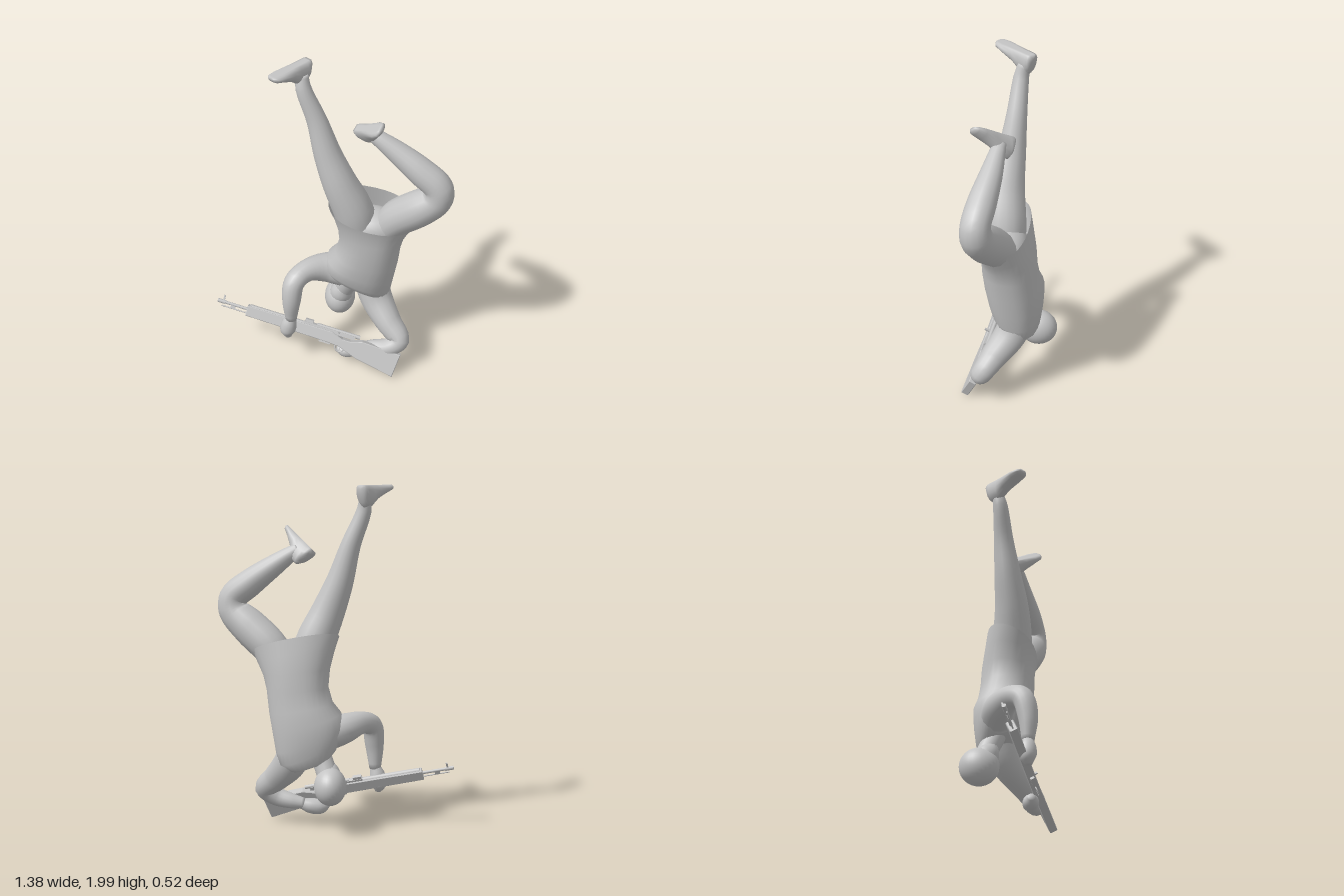
import * as THREE from 'three';

const V = (x, y, z) => new THREE.Vector3(x, y, z);
const grey = new THREE.MeshStandardMaterial({ color: 0xc4c4c4, side: THREE.DoubleSide });
grey.name = 'plain grey';

function part(parent, name, geometry) {
  const m = new THREE.Mesh(geometry, grey);
  m.name = name;
  parent.add(m);
  return m;
}

// Smooth skin over a list of rings; optional end caps
function loft(rings, capStart = true, capEnd = true) {
  const n = rings[0].length, pos = [], idx = [];
  rings.forEach(r => r.forEach(p => pos.push(p.x, p.y, p.z)));
  for (let a = 0; a < rings.length - 1; a++) for (let i = 0; i < n; i++) {
    const j = (i + 1) % n, p = a * n + i, q = a * n + j;
    idx.push(p, q, q + n, p, q + n, p + n);
  }
  const cap = (ring, base, flip) => {
    const c = ring.reduce((s, p) => s.add(p), V(0, 0, 0)).divideScalar(n);
    const k = pos.length / 3;
    pos.push(c.x, c.y, c.z);
    for (let i = 0; i < n; i++) {
      const j = (i + 1) % n;
      flip ? idx.push(k, base + j, base + i) : idx.push(k, base + i, base + j);
    }
  };
  if (capStart) cap(rings[0], 0, true);
  if (capEnd) cap(rings[rings.length - 1], (rings.length - 1) * n, false);
  const g = new THREE.BufferGeometry();
  g.setAttribute('position', new THREE.Float32BufferAttribute(pos, 3));
  g.setIndex(idx);
  g.computeVertexNormals();
  return g;
}

// Tapering limb through points [x, y, z, radius]
function limb(points, sides = 16) {
  const path = new THREE.CatmullRomCurve3(points.map(p => V(p[0], p[1], p[2])));
  const size = new THREE.CatmullRomCurve3(points.map((p, i) => V(p[3], i, 0)));
  const steps = (points.length - 1) * 5, rings = [];
  let N = V(0.13, 0.2, 1);
  for (let s = 0; s <= steps; s++) {
    const t = s / steps, c = path.getPoint(t), T = path.getTangent(t), r = size.getPoint(t).x;
    N = N.clone().addScaledVector(T, -N.dot(T)).normalize();
    const B = T.clone().cross(N), ring = [];
    for (let i = 0; i < sides; i++) {
      const a = i / sides * Math.PI * 2;
      ring.push(c.clone().addScaledVector(N, r * Math.cos(a)).addScaledVector(B, r * Math.sin(a)));
    }
    rings.push(ring);
  }
  return loft(rings);
}

// Group with its own axes: x along, y near the given up
function frame(name, origin, along, up) {
  const X = along.normalize(), Y = up.addScaledVector(X, -up.dot(X)).normalize();
  const g = new THREE.Group();
  g.name = name;
  g.applyMatrix4(new THREE.Matrix4().makeBasis(X, Y, X.clone().cross(Y)).setPosition(origin));
  return g;
}

// Shoe: heel to toe sections [distance, height, half width], flat on the sole
function shoe(name, origin, forward, up) {
  const g = frame(name, origin, forward, up);
  const rings = [[-0.055, 0.05, 0.028], [-0.04, 0.1, 0.038], [-0.02, 0.125, 0.04], [0.035, 0.122, 0.04],
    [0.085, 0.082, 0.044], [0.16, 0.048, 0.05], [0.205, 0.034, 0.042], [0.222, 0.022, 0.024]]
    .map(([s, h, w]) => Array.from({ length: 16 }, (_, i) => {
      const a = i / 16 * Math.PI * 2;
      return V(s, Math.max(0, h * (0.42 + 0.58 * Math.cos(a))), w * Math.sin(a));
    }));
  part(g, 'shoe', loft(rings));
  return g;
}

function buildRifle() {
  const g = frame('rifle', V(-0.69, 0.355, 0.08), V(1, -0.2, 0.1), V(0.2, 0.9, -0.42));
  // Wooden stock side outline
  const outline = [[0.19, 0.022], [0.72, 0.022], [0.79, -0.004], [0.84, -0.004], [0.91, 0.018],
    [1.147, 0.008], [1.135, -0.13], [0.9, -0.088], [0.78, -0.046], [0.7, -0.04], [0.19, -0.034]];
  const shape = new THREE.Shape(outline.map(p => new THREE.Vector2(p[0], p[1])));
  const stock = new THREE.ExtrudeGeometry(shape, {
    depth: 0.038, bevelEnabled: true, bevelSize: 0.004, bevelThickness: 0.004, bevelSegments: 1 });
  part(g, 'stock', stock.translate(0, 0, -0.019));
  const box = (name, u, v, w, l, h, d) =>
    part(g, name, new THREE.BoxGeometry(l, h, d)).position.set(u, v, w);
  const rod = (name, u0, u1, v, w, r) => {
    const m = part(g, name, new THREE.CylinderGeometry(r, r, u1 - u0, 10));
    m.rotation.z = Math.PI / 2;
    m.position.set((u0 + u1) / 2, v, w);
  };
  rod('barrel', 0, 0.3, 0, 0, 0.009);
  rod('muzzleDevice', 0, 0.05, 0, 0, 0.012);
  rod('cleaningRod', 0.03, 0.2, -0.026, 0, 0.004);
  rod('handguard', 0.2, 0.54, 0.018, 0, 0.017);
  box('frontSight', 0.035, 0.024, 0, 0.01, 0.036, 0.008);
  box('barrelLug', 0.1, -0.016, 0, 0.03, 0.02, 0.01);
  box('receiver', 0.7, 0.026, 0, 0.32, 0.024, 0.03);
  box('rearSight', 0.57, 0.046, 0, 0.05, 0.018, 0.024);
  rod('boltCover', 0.62, 0.89, 0.036, 0, 0.012);
  box('boltHandle', 0.76, 0.032, 0.026, 0.012, 0.012, 0.04);
  box('magazine', 0.69, -0.045, 0, 0.07, 0.025, 0.024);
  box('trigger', 0.79, -0.06, 0, 0.006, 0.03, 0.006);
  const guard = part(g, 'triggerGuard', new THREE.TorusGeometry(0.028, 0.004, 6, 16));
  guard.position.set(0.785, -0.06, 0);
  return g;
}

export function createModel() {
  const model = new THREE.Group();
  model.name = 'upsideDownFigure';

  // Shirt: [cx, cy, cz, rx, rz, slope across, slope front to back], collar up to hem
  const shirt = [
    [0.1, 0.445, -0.065, 0.07, 0.065, -0.3, 0.6],
    [0.13, 0.45, -0.055, 0.14, 0.1, -0.45, 0.45],
    [0.145, 0.495, -0.04, 0.182, 0.132, -0.45, 0.25],
    [0.145, 0.555, -0.032, 0.2, 0.15, -0.4, 0.1],
    [0.165, 0.64, -0.027, 0.198, 0.162, -0.3, 0],
    [0.2, 0.73, -0.012, 0.184, 0.158, -0.15, 0],
    [0.22, 0.84, 0, 0.178, 0.156, -0.05, 0],
    [0.225, 0.93, 0.004, 0.192, 0.153, -0.1, -0.1],
    [0.228, 1.015, 0.015, 0.22, 0.147, -0.16, -0.22],
    [0.23, 1.09, 0.03, 0.25, 0.145, -0.18, -0.38]];
  part(model, 'shirt', loft(shirt.map(([cx, cy, cz, rx, rz, sx, sz]) =>
    Array.from({ length: 32 }, (_, i) => {
      const a = i / 32 * Math.PI * 2;
      const bulge = t => Math.sign(t) * Math.abs(t) ** 0.88;
      const dx = rx * bulge(Math.sin(a)), dz = rz * bulge(Math.cos(a));
      return V(cx + dx, cy + dx * sx + dz * sz, cz + dz);
    })), true, false));

  const pelvis = part(model, 'pelvis', new THREE.SphereGeometry(1, 24, 16));
  pelvis.scale.set(0.19, 0.11, 0.125);
  pelvis.position.set(0.225, 0.98, 0.02);

  // Head hangs below the collar
  const head = part(model, 'head', new THREE.SphereGeometry(1, 28, 20));
  head.scale.set(0.093, 0.11, 0.114);
  head.position.set(0.028, 0.29, -0.138);
  part(model, 'jaw', limb([[0.03, 0.31, -0.12, 0.075], [0.045, 0.37, -0.09, 0.066], [0.06, 0.42, -0.07, 0.04]]));
  part(model, 'neck', limb([[0.035, 0.32, -0.12, 0.06], [0.07, 0.42, -0.085, 0.06], [0.12, 0.53, -0.05, 0.065]]));

  // Legs: the right one straight up, the left one folded at the knee
  part(model, 'rightLeg', limb([[0.155, 0.96, 0.03, 0.11], [0.12, 1.1, 0.04, 0.115], [0.048, 1.27, 0.045, 0.1],
    [-0.022, 1.45, 0.03, 0.08], [-0.085, 1.66, 0.012, 0.058], [-0.158, 1.85, 0.0, 0.044], [-0.168, 1.93, -0.015, 0.034]]));
  part(model, 'leftLeg', limb([[0.31, 0.98, 0.03, 0.09], [0.385, 1.075, 0.05, 0.106], [0.5, 1.18, 0.09, 0.107],
    [0.595, 1.275, 0.115, 0.09], [0.597, 1.35, 0.118, 0.083], [0.5, 1.435, 0.1, 0.08],
    [0.37, 1.53, 0.075, 0.064], [0.25, 1.612, 0.058, 0.044], [0.21, 1.635, 0.05, 0.036]]));
  model.add(shoe('rightShoe', V(-0.172, 1.998, -0.027), V(-0.18, 0, 0.24), V(0, -1, 0)));
  model.add(shoe('leftShoe', V(0.152, 1.65, 0.038), V(0.14, 0.12, 0.17), V(0.65, -0.6, -0.1)));

  // Arms and hands reaching for the rifle
  part(model, 'rightArm', limb([[0.05, 0.58, -0.04, 0.1], [-0.05, 0.605, -0.015, 0.088], [-0.15, 0.625, 0.06, 0.066],
    [-0.21, 0.592, 0.13, 0.062], [-0.225, 0.48, 0.16, 0.056], [-0.23, 0.33, 0.16, 0.034]]));
  part(model, 'rightHand', limb([[-0.23, 0.34, 0.158, 0.03], [-0.243, 0.29, 0.16, 0.046],
    [-0.252, 0.235, 0.16, 0.046], [-0.248, 0.19, 0.165, 0.018]]));
  part(model, 'leftArm', limb([[0.22, 0.52, -0.05, 0.1], [0.265, 0.4, -0.01, 0.097], [0.345, 0.295, 0.07, 0.08],
    [0.42, 0.21, 0.135, 0.062], [0.36, 0.16, 0.15, 0.056], [0.27, 0.135, 0.135, 0.046], [0.19, 0.12, 0.13, 0.033]]));
  part(model, 'leftHand', limb([[0.21, 0.122, 0.13, 0.03], [0.15, 0.105, 0.135, 0.045],
    [0.09, 0.1, 0.145, 0.044], [0.045, 0.115, 0.15, 0.018]]));

  model.add(buildRifle());
  return model;
}
